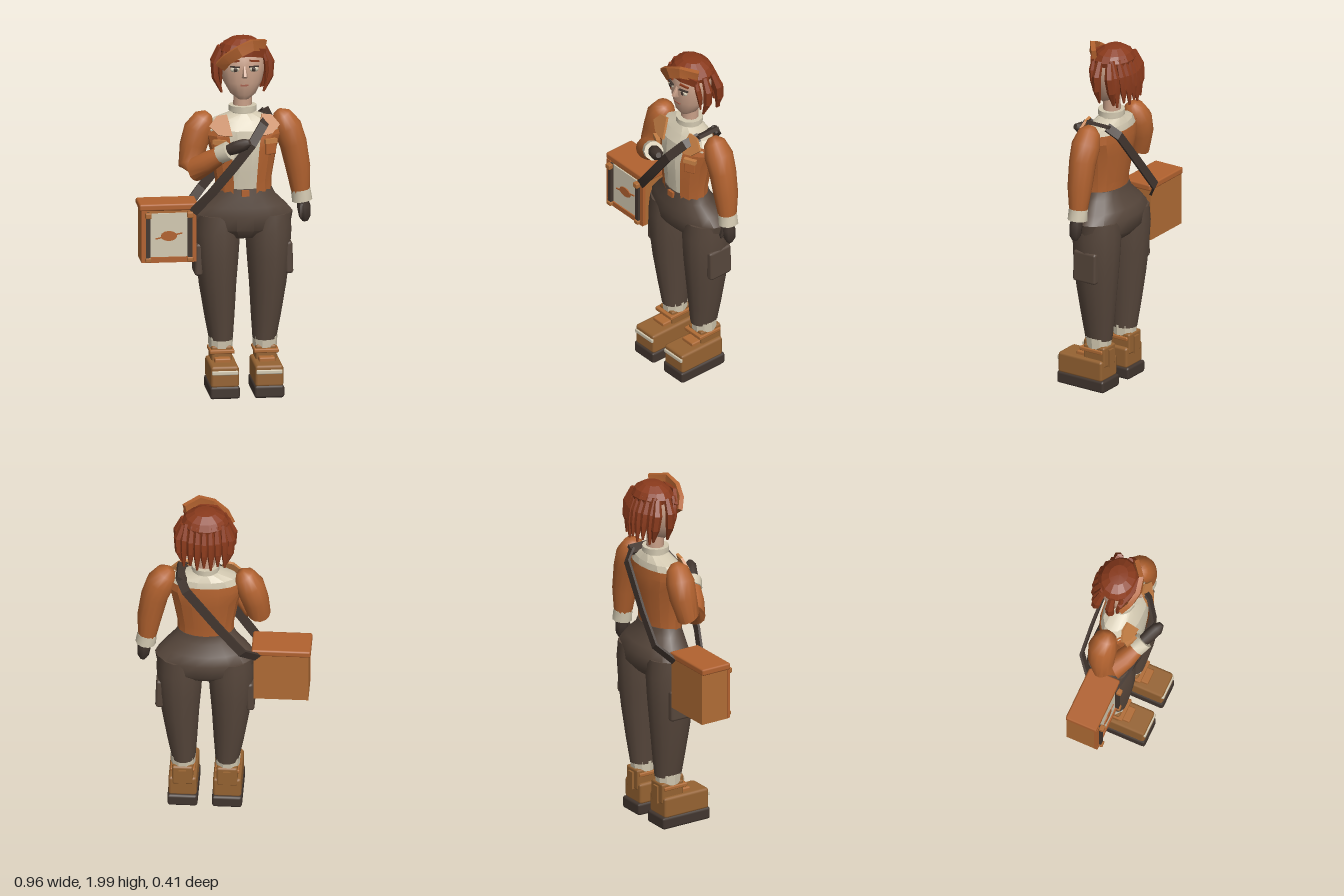
import * as THREE from 'three';
import { toCreasedNormals } from 'three/addons/utils/BufferGeometryUtils.js';
import { RoundedBoxGeometry } from 'three/addons/geometries/RoundedBoxGeometry.js';

const mat = (name, color, side = THREE.FrontSide) => {
  const m = new THREE.MeshStandardMaterial({ color, side });
  m.name = name;
  return m;
};
const M = {
  skin: mat('skin', 0xc9a088),
  hair: mat('auburn hair', 0x8a3a1c),
  jacket: mat('rust jacket', 0xb2622f, THREE.DoubleSide),
  tan: mat('tan trim', 0xc57f45),
  cream: mat('cream cloth', 0xd3c9b1),
  trousers: mat('brown trousers', 0x56463b),
  dark: mat('dark leather', 0x42362f),
  boot: mat('boot leather', 0x966332),
  bag: mat('bag leather', 0xb06c35),
  lip: mat('lip', 0xa5614e),
};

// Skins elliptical rings [x, y, z, radiusU, radiusV]; level keeps rings horizontal (list upward)
function loft(rings, segs = 12, { start = 0, span = Math.PI * 2, level = false, crease = 0.7 } = {}) {
  const closed = span > 6.28, n = closed ? segs : segs + 1;
  const c = rings.map(r => new THREE.Vector3(r[0], r[1], r[2]));
  const pos = [], idx = [], front = new THREE.Vector3(0, 0, 1);
  rings.forEach((r, k) => {
    const t = level ? new THREE.Vector3(0, 1, 0)
      : c[Math.min(k + 1, c.length - 1)].clone().sub(c[Math.max(k - 1, 0)]).normalize();
    const u = t.clone().cross(front).normalize(), v = u.clone().cross(t);
    for (let i = 0; i < n; i++) {
      const a = start + span * i / segs;
      pos.push(...c[k].clone().addScaledVector(u, Math.cos(a) * r[3]).addScaledVector(v, Math.sin(a) * r[4]).toArray());
    }
  });
  for (let k = 0; k < rings.length - 1; k++) for (let i = 0; i < segs; i++) {
    const a = k * n + i, b = k * n + (i + 1) % n;
    idx.push(a, a + n, b, b, a + n, b + n);
  }
  if (closed) {
    const base = pos.length / 3, last = (rings.length - 1) * n;
    pos.push(...c[0].toArray(), ...c[c.length - 1].toArray());
    for (let i = 0; i < n; i++) {
      const j = (i + 1) % n;
      idx.push(base, i, j, base + 1, last + j, last + i);
    }
  }
  const g = new THREE.BufferGeometry();
  g.setAttribute('position', new THREE.Float32BufferAttribute(pos, 3));
  g.setIndex(idx);
  return toCreasedNormals(g, crease);
}
// Flat strip of rectangular section along points
const ribbon = (pts, w, t) => loft(pts.map(p => [...p, w * 0.707, t * 0.707]), 4, { start: Math.PI / 4, crease: 0.3 });
const box = (w, h, d, r = 0) => r ? new RoundedBoxGeometry(w, h, d, 1, r) : new THREE.BoxGeometry(w, h, d);

export function createModel() {
  const model = new THREE.Group();
  const CX = 0.1; // body centre line
  const add = (name, geo, material, x = 0, y = 0, z = 0, rx = 0, ry = 0, rz = 0) => {
    const m = new THREE.Mesh(geo, material);
    m.name = name;
    m.position.set(x, y, z);
    m.rotation.set(rx, ry, rz);
    model.add(m);
    return m;
  };
  const L = { level: true };

  // Head, neck and collar
  add('head', loft([[CX, 1.645, -0.015, 0.03, 0.03], [CX, 1.675, -0.025, 0.07, 0.06], [CX, 1.74, -0.045, 0.107, 0.09],
    [CX, 1.82, -0.055, 0.125, 0.105], [CX, 1.9, -0.06, 0.12, 0.1], [CX, 1.95, -0.06, 0.08, 0.07]], 16, L), M.skin);
  add('neck', loft([[CX, 1.58, -0.048, 0.052, 0.048], [CX, 1.72, -0.048, 0.05, 0.046]], 12, L), M.skin);
  add('collar', loft([[CX, 1.54, -0.045, 0.062, 0.062], [CX, 1.572, -0.045, 0.064, 0.064], [CX, 1.573, -0.045, 0.077, 0.074],
    [CX, 1.605, -0.045, 0.077, 0.074]], 12, L), M.cream);

  // Face
  add('nose', loft([[CX, 1.775, 0.046, 0.016, 0.02], [CX, 1.788, 0.058, 0.016, 0.022], [CX, 1.84, 0.042, 0.007, 0.008]], 6, L), M.skin);
  add('mouth', box(0.045, 0.008, 0.008), M.lip, CX, 1.732, 0.043);
  const ball = new THREE.SphereGeometry(1, 12, 8);
  for (const s of [-1, 1]) {
    add('eye', ball, M.cream, CX + s * 0.052, 1.822, 0.04).scale.set(0.027, 0.015, 0.012);
    add('iris', ball, M.dark, CX + s * 0.05, 1.822, 0.05).scale.set(0.011, 0.012, 0.005);
    add('upperLid', box(0.055, 0.006, 0.012), M.dark, CX + s * 0.052, 1.837, 0.043, 0, s * 0.3, 0);
    add('brow', box(0.055, 0.009, 0.01), M.hair, CX + s * 0.055, 1.868, 0.041, 0, s * 0.35, -s * 0.15);
  }

  // Hair cap, side locks, back locks and swept fringe
  add('hairCap', loft([[CX, 1.89, -0.065, 0.124, 0.106], [CX, 1.915, -0.065, 0.13, 0.112], [CX, 1.95, -0.065, 0.108, 0.092],
    [CX, 1.978, -0.065, 0.06, 0.052], [CX, 1.985, -0.065, 0.01, 0.01]], 14, { level: true, crease: 0.2 }), M.hair);
  const lock = (name, pts, w, d) => add(name, loft(pts.map((p, i) => {
    const k = [0.7, 1, 0.9, 0.25][i];
    return [...p, w * k, d * k];
  }), 6, { crease: 0.2 }), M.hair);
  for (const s of [-1, 1]) {
    const x = d => CX + s * d;
    lock('sideLock', [[x(0.12), 1.92, -0.05], [x(0.152), 1.84, -0.05], [x(0.148), 1.76, -0.05], [x(0.115), 1.675, -0.045]], 0.024, 0.026);
    lock('sideLock', [[x(0.118), 1.92, -0.11], [x(0.145), 1.84, -0.13], [x(0.14), 1.76, -0.14], [x(0.118), 1.68, -0.14]], 0.024, 0.028);
    lock('templeLock', [[x(0.105), 1.92, 0.0], [x(0.123), 1.86, 0.0], [x(0.128), 1.8, -0.01], [x(0.122), 1.72, -0.02]], 0.014, 0.018);
  }
  for (let i = 0; i < 7; i++) {
    const f = (i - 3) / 3, x = CX + f * 0.1, z = 0.035 * f * f;
    lock('backLock', [[x, 1.93, -0.15 + z], [x + f * 0.01, 1.84, -0.18 + z], [x + f * 0.012, 1.77, -0.19 + z],
      [x + f * 0.012, 1.67 + 0.02 * (i % 2), -0.195 + z]], 0.023, 0.023);
  }
  add('fringe', ribbon([[-0.03, 1.835, 0.015], [0.005, 1.885, 0.05], [0.07, 1.93, 0.07], [0.14, 1.96, 0.055], [0.215, 1.945, -0.01]], 0.06, 0.026), M.jacket);
  add('underFringe', ribbon([[-0.02, 1.86, 0.0], [0.05, 1.915, 0.04], [0.14, 1.92, 0.045], [0.215, 1.9, 0.0]], 0.05, 0.02), M.hair);

  // Shirt and open jacket
  add('shirt', loft([[CX, 1.12, -0.015, 0.14, 0.088], [CX, 1.25, -0.015, 0.145, 0.1], [CX, 1.38, -0.02, 0.17, 0.115],
    [CX, 1.48, -0.03, 0.205, 0.108], [CX, 1.53, -0.04, 0.17, 0.088], [CX, 1.565, -0.045, 0.07, 0.065]], 14, { level: true, crease: 0.3 }), M.cream);
  const gap = 0.42;
  add('jacket', loft([[CX, 1.13, -0.015, 0.155, 0.098], [CX, 1.2, -0.015, 0.155, 0.102], [CX, 1.37, -0.022, 0.185, 0.122],
    [CX, 1.45, -0.03, 0.212, 0.118], [CX, 1.5, -0.037, 0.205, 0.105]], 14,
    { level: true, start: Math.PI / 2 + gap, span: Math.PI * 2 - gap * 2, crease: 0.3 }), M.jacket);
  const lapel = new THREE.Shape([[0.07, -0.06], [0.095, 0.06], [0.15, 0.055], [0.195, 0.0], [0.15, -0.05], [0.11, -0.06]]
    .map(p => new THREE.Vector2(...p)));
  const lapelGeo = new THREE.ExtrudeGeometry(lapel, { depth: 0.014, bevelEnabled: false });
  for (const s of [-1, 1]) {
    // Left lapel is the right one turned about, so its plate keeps outward faces
    add('lapel', s > 0 ? lapelGeo : lapelGeo.clone().rotateY(Math.PI).translate(0, 0, 0.014), M.tan, CX, 1.515, 0.062, -0.4, s * 0.15, 0);
    add('chestPocket', box(0.065, 0.075, 0.02, 0.006), M.jacket, CX + s * 0.14, 1.385, 0.068, -0.05, s * 0.45, 0);
    add('pocketFlap', box(0.072, 0.025, 0.024), M.tan, CX + s * 0.14, 1.422, 0.07, -0.05, s * 0.45, 0);
  }

  // Arms: left hangs, right bends to hold the strap
  const round = (name, pts, m, segs = 14) => add(name, loft(pts.map(([x, y, z, r, q = r]) => [x, y, z, r, q]), segs, { crease: 0.9 }), m);
  round('leftSleeve', [[0.29, 1.56, -0.045, 0.025], [0.31, 1.535, -0.045, 0.06], [0.345, 1.47, -0.045, 0.08], [0.378, 1.38, -0.045, 0.075],
    [0.405, 1.24, -0.045, 0.068], [0.42, 1.1, -0.045, 0.05]], M.jacket);
  round('leftCuff', [[0.419, 1.118, -0.045, 0.054], [0.428, 1.055, -0.045, 0.056]], M.cream, 10);
  round('leftGlove', [[0.427, 1.075, -0.042, 0.03], [0.436, 1.02, -0.04, 0.037], [0.442, 0.965, -0.04, 0.032], [0.444, 0.94, -0.04, 0.016]], M.dark, 8);
  round('leftThumb', [[0.42, 1.04, -0.02, 0.014], [0.415, 0.985, -0.005, 0.013], [0.416, 0.965, -0.004, 0.006]], M.dark, 6);
  round('rightSleeve', [[-0.09, 1.56, -0.045, 0.025], [-0.11, 1.535, -0.045, 0.06], [-0.145, 1.47, -0.048, 0.08], [-0.172, 1.38, -0.045, 0.076],
    [-0.19, 1.28, -0.025, 0.066], [-0.165, 1.265, 0.025, 0.068], [-0.1, 1.315, 0.07, 0.06], [-0.03, 1.365, 0.11, 0.046]], M.jacket);
  round('rightCuff', [[-0.045, 1.36, 0.103, 0.052], [0.005, 1.39, 0.13, 0.054]], M.cream, 10);
  round('rightGlove', [[-0.01, 1.383, 0.12, 0.03], [0.04, 1.41, 0.15, 0.037], [0.085, 1.433, 0.175, 0.034], [0.112, 1.447, 0.188, 0.016]], M.dark, 8);

  // Trousers
  add('hips', loft([[CX, 0.87, -0.05, 0.17, 0.09], [CX, 0.92, -0.048, 0.262, 0.138], [CX, 1.0, -0.047, 0.276, 0.146], [CX, 1.05, -0.038, 0.235, 0.132],
    [CX, 1.11, -0.022, 0.175, 0.108], [CX, 1.155, -0.02, 0.152, 0.1]], 18, L), M.trousers);
  add('beltBuckle', box(0.04, 0.035, 0.014), M.jacket, CX, 1.135, 0.088);
  for (const s of [-1, 1]) {
    const x = d => CX + s * d;
    add('trouserLeg', loft([[x(0.12), 0.29, -0.045, 0.066, 0.079], [x(0.128), 0.42, -0.045, 0.083, 0.096], [x(0.138), 0.6, -0.044, 0.103, 0.118],
      [x(0.141), 0.75, -0.044, 0.118, 0.132], [x(0.141), 0.9, -0.046, 0.128, 0.138], [x(0.14), 1.0, -0.047, 0.12, 0.13]], 14, L), M.trousers);
    add('thighPocket', box(0.045, 0.18, 0.15, 0.015), M.trousers, x(0.247), 0.75, -0.045, 0, 0, s * 0.03);
    // Socks and boots
    const bx = x(0.122);
    add('sock', loft([[bx, 0.245, -0.045, 0.066, 0.07], [bx, 0.305, -0.045, 0.07, 0.076]], 10, { level: true, crease: 0.3 }), M.cream);
    add('bootShaft', box(0.115, 0.12, 0.14, 0.012), M.boot, bx, 0.2, -0.05);
    add('ankleStrap', box(0.136, 0.022, 0.15, 0.006), M.bag, bx, 0.231, -0.035);
    add('bootFoot', box(0.155, 0.12, 0.29, 0.015), M.boot, bx, 0.122, 0.03);
    add('bootTongue', box(0.09, 0.035, 0.06, 0.008), M.bag, bx, 0.185, 0.045);
    add('toeStripe', box(0.145, 0.024, 0.022, 0.006), M.cream, bx, 0.147, 0.172);
    add('heelTab', box(0.04, 0.1, 0.02), M.boot, bx, 0.19, -0.122);
    add('sole', box(0.165, 0.07, 0.31, 0.014), M.dark, bx, 0.035, 0.026);
  }

  // Shoulder strap
  add('frontStrap', ribbon([[0.235, 1.55, 0.0], [0.2, 1.515, 0.075], [0.13, 1.42, 0.135], [0.03, 1.29, 0.125], [-0.09, 1.14, 0.1], [-0.185, 1.03, 0.06]], 0.05, 0.014), M.dark);
  add('shoulderStrap', box(0.06, 0.02, 0.14), M.dark, 0.228, 1.548, -0.055, 0, 0, 0.5);
  add('backStrap', ribbon([[0.235, 1.55, -0.11], [0.2, 1.5, -0.165], [0.02, 1.27, -0.185], [-0.11, 1.11, -0.19], [-0.19, 1.03, -0.115]], 0.05, 0.014), M.dark);

  // Side bag
  const B = -0.318;
  add('bagBody', box(0.3, 0.3, 0.17), M.bag, B, 0.9, -0.035);
  add('bagLid', box(0.325, 0.038, 0.185, 0.01), M.jacket, B, 1.06, -0.031);
  add('bagPanel', box(0.23, 0.245, 0.008), M.cream, B, 0.905, 0.053);
  add('bagBottomTrim', box(0.3, 0.03, 0.02), M.jacket, B, 0.767, 0.054);
  const patch = add('bagPatch', new THREE.CylinderGeometry(1, 1, 0.006, 12), M.jacket, B, 0.9, 0.06, Math.PI / 2, 0, 0);
  patch.scale.set(0.045, 1, 0.028);
  add('patchBar', box(0.15, 0.007, 0.006), M.jacket, B, 0.9, 0.059, 0, 0, 0.2);
  for (const s of [-1, 1]) {
    const x = B + s * 0.115;
    add('bagEdge', box(0.03, 0.29, 0.018), M.jacket, B + s * 0.137, 0.9, 0.054);
    add('bagBand', box(0.024, 0.27, 0.02), M.dark, x, 0.9, 0.066);
    add('bandClasp', box(0.034, 0.032, 0.03, 0.006), M.bag, x, 1.02, 0.076);
    add('bandFoot', box(0.034, 0.024, 0.025, 0.006), M.bag, x, 0.77, 0.072);
  }
  return model;
}
